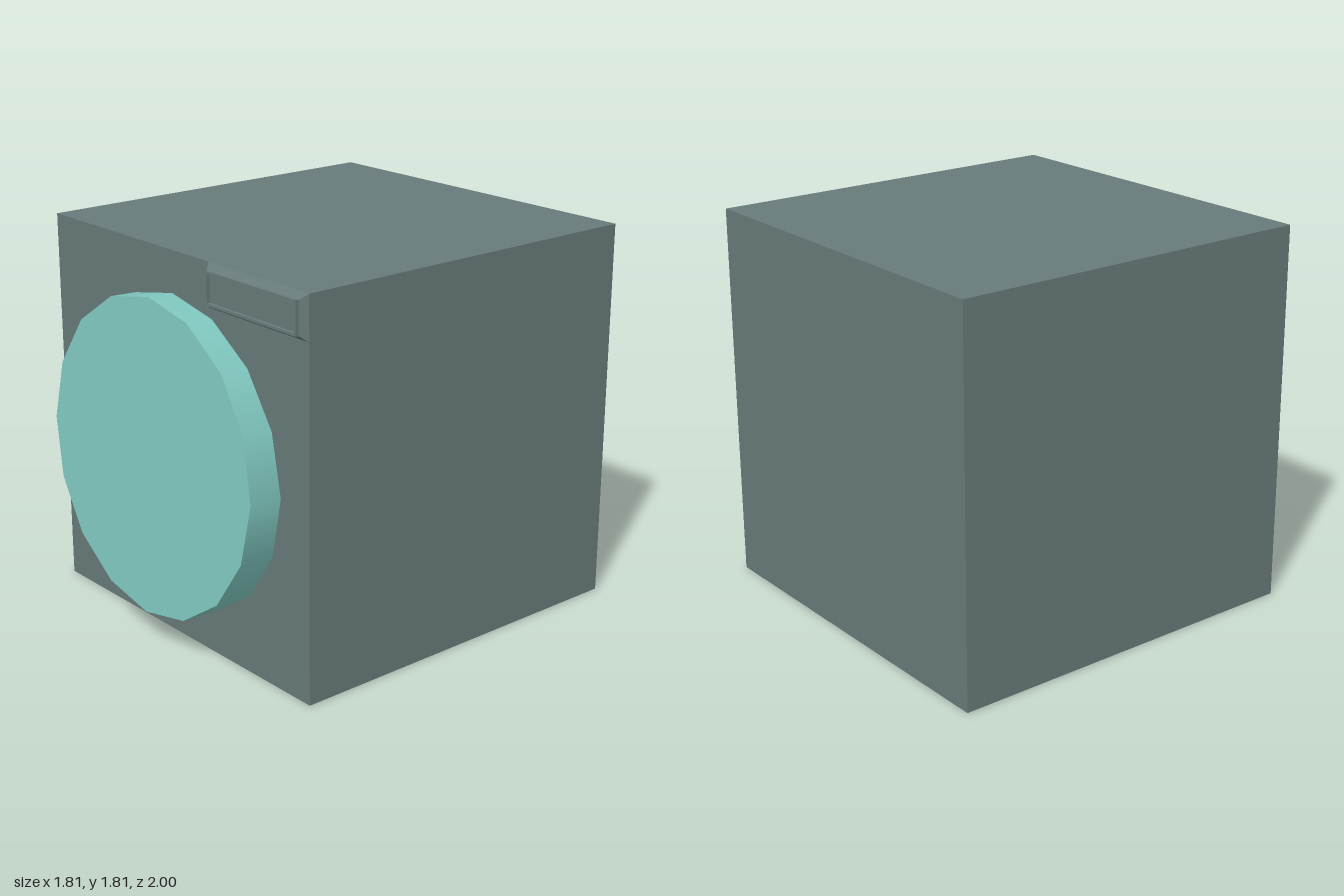
import * as THREE from 'three';

const bodyMaterial = new THREE.MeshStandardMaterial({ color: 0x677a79 });
const doorMaterial = new THREE.MeshStandardMaterial({ color: 0x80c8c0 });

function addMesh(parent, name, geometry, material, x, y, z) {
  const mesh = new THREE.Mesh(geometry, material);
  mesh.name = name;
  mesh.position.set(x, y, z);
  parent.add(mesh);
  return mesh;
}

// Box whose front face is drawn in by a bevel on all four sides
function beveledPlate(w, h, d, bevel) {
  const geometry = new THREE.BoxGeometry(w, h, d);
  const p = geometry.attributes.position;
  for (let i = 0; i < p.count; i++) {
    if (p.getZ(i) > 0) {
      p.setX(i, p.getX(i) - Math.sign(p.getX(i)) * bevel);
      p.setY(i, p.getY(i) - Math.sign(p.getY(i)) * bevel);
    }
  }
  const flat = geometry.toNonIndexed();
  flat.computeVertexNormals();
  return flat;
}

// Rectangular frame, extruded towards the front
function rectFrame(w, h, border, depth) {
  const corners = (a, b) => [[-a, -b], [a, -b], [a, b], [-a, b]].map(([x, y]) => new THREE.Vector2(x, y));
  const shape = new THREE.Shape(corners(w / 2, h / 2));
  shape.holes.push(new THREE.Path(corners(w / 2 - border, h / 2 - border).reverse()));
  return new THREE.ExtrudeGeometry(shape, { depth, bevelEnabled: false });
}

export function createModel() {
  const model = new THREE.Group();
  model.name = 'washingMachine';

  // Cabinet
  addMesh(model, 'cabinet', new THREE.BoxGeometry(1.81, 1.81, 1.81), bodyMaterial, 0, 0.905, -0.095);

  // Round door, leaning back slightly
  const door = addMesh(model, 'door', new THREE.CylinderGeometry(0.73, 0.73, 0.2, 16), doorMaterial, -0.01, 0.89, 0.87);
  door.rotation.x = Math.PI / 2 - 0.044;

  // Control panel: beveled plate with a raised rim around the recessed face
  const panel = new THREE.Group();
  panel.name = 'controlPanel';
  panel.position.set(0.58, 1.71, 0.81);
  addMesh(panel, 'panelPlate', beveledPlate(0.65, 0.2, 0.03, 0.025), bodyMaterial, 0, 0, 0.015);
  addMesh(panel, 'panelRim', rectFrame(0.59, 0.15, 0.012, 0.015), bodyMaterial, 0, 0, 0.03);
  model.add(panel);

  return model;
}
